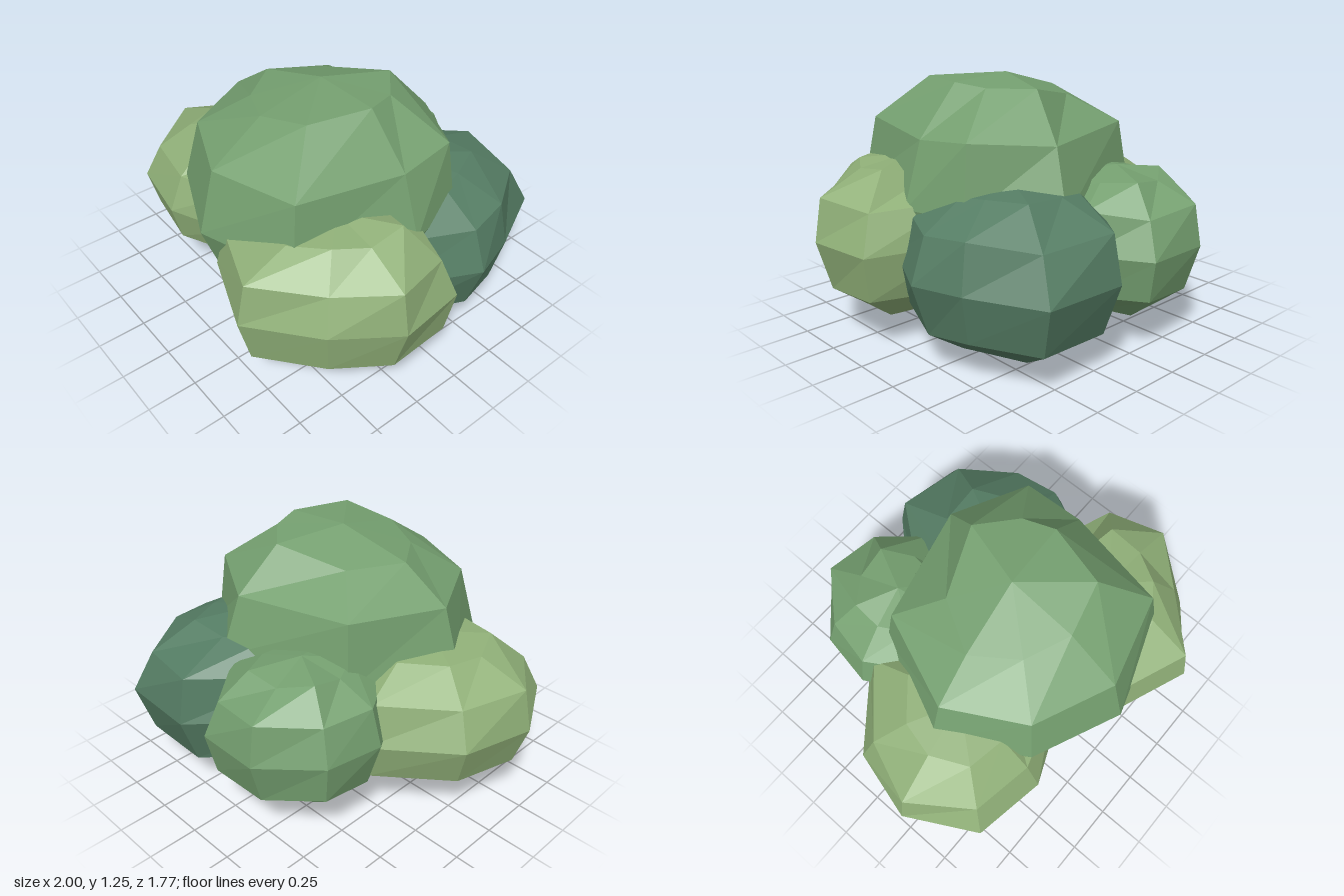
import * as THREE from 'three';

const MID = 0x75a070, LIGHT = 0x90b078, DARK = 0x557d64;
const SIDES = 8, ROWS = 6;

// Foliage clump: a faceted ball of 8 sides and 6 rows, squashed above and below
// its widest ring. radii run from the front round through +x; nudge shifts
// each corner's angle in degrees; tilt raises the crown towards +x.
function clump({ name, color, seed, centre: [x, y, z], up, down, radii, nudge = [], tilt = 0 }) {
  const pos = [x, y - down, z], index = [];
  for (let row = 1; row < ROWS; row++) {
    const lat = (row / ROWS - 0.5) * Math.PI;
    const widest = row === ROWS / 2;
    const rise = Math.sign(lat) * Math.abs(Math.sin(lat)) ** 0.85 * (lat > 0 ? up : down);
    radii.forEach((radius, i) => {
      // uneven bumps make the facets irregular, the widest ring stays true
      const bump = widest ? 0 : Math.sin(seed * 2.3 + row * 4.1 + i * 2.7);
      const r = radius * Math.cos(lat) * (widest ? 1 : 1.02 + 0.05 * bump);
      const angle = THREE.MathUtils.degToRad(i * 360 / SIDES + (nudge[i] ?? 0));
      const dx = r * Math.sin(angle), dz = r * Math.cos(angle);
      const lean = lat > 0 ? tilt * dx * Math.sin(lat) ** 4 : 0;
      pos.push(x + dx, y + rise + lean + 0.015 * bump, z + dz);
    });
  }
  pos.push(x, y + up, z);

  const top = (ROWS - 1) * SIDES + 1;
  for (let i = 0; i < SIDES; i++) {
    const j = (i + 1) % SIDES;
    index.push(0, 1 + j, 1 + i);
    for (let row = 0; row < ROWS - 2; row++) {
      const a = 1 + row * SIDES + i, b = 1 + row * SIDES + j;
      index.push(a, b, b + SIDES, a, b + SIDES, a + SIDES);
    }
    index.push(top - SIDES + i, top - SIDES + j, top);
  }

  const geometry = new THREE.BufferGeometry();
  geometry.setAttribute('position', new THREE.Float32BufferAttribute(pos, 3));
  geometry.setIndex(index);
  geometry.computeVertexNormals();
  const mesh = new THREE.Mesh(geometry, new THREE.MeshStandardMaterial({ color, flatShading: true }));
  mesh.name = name;
  return mesh;
}

export function createModel() {
  const bush = new THREE.Group();
  bush.name = 'bush';
  bush.add(
    // large crown in the middle
    clump({
      name: 'mainClump', color: MID, seed: 1, centre: [0.05, 0.7, 0.06], up: 0.57, down: 0.54,
      radii: [0.71, 0.74, 0.66, 0.675, 0.665, 0.62, 0.695, 0.68],
      nudge: [0, -3, 3, -13, -18, 2, 7, 4], tilt: 0.25,
    }),
    // light clumps at the front
    clump({
      name: 'frontLeftClump', color: LIGHT, seed: 2, centre: [0.49, 0.525, 0.33], up: 0.35, down: 0.435,
      radii: [0.55, 0.43, 0.51, 0.57, 0.47, 0.43, 0.44, 0.56],
      nudge: [0, 1, -2, -10], tilt: 0.15,
    }),
    clump({
      name: 'frontRightClump', color: LIGHT, seed: 3, centre: [-0.44, 0.475, 0.16], up: 0.355, down: 0.365,
      radii: [0.505, 0.5, 0.52, 0.52, 0.57, 0.535, 0.567, 0.575],
      nudge: [0, 0, 0, 0, 10, 15, 9, 5],
    }),
    // deep dark clump behind, reaching forward under the crown
    clump({
      name: 'backLeftClump', color: DARK, seed: 4, centre: [0.31, 0.46, -0.24], up: 0.39, down: 0.445,
      radii: [0.55, 0.54, 0.58, 0.565, 0.7, 0.64, 0.52, 0.5],
      nudge: [0, 0, 2, -17, -28, -37, -25, -10],
    }),
    clump({
      name: 'backRightClump', color: MID, seed: 5, centre: [-0.2, 0.51, -0.46], up: 0.34, down: 0.39,
      radii: [0.45, 0.43, 0.41, 0.474, 0.445, 0.42, 0.43, 0.44],
      nudge: [13, 8, 20, 19, 16, 17, 12, 10],
    }),
  );
  return bush;
}
